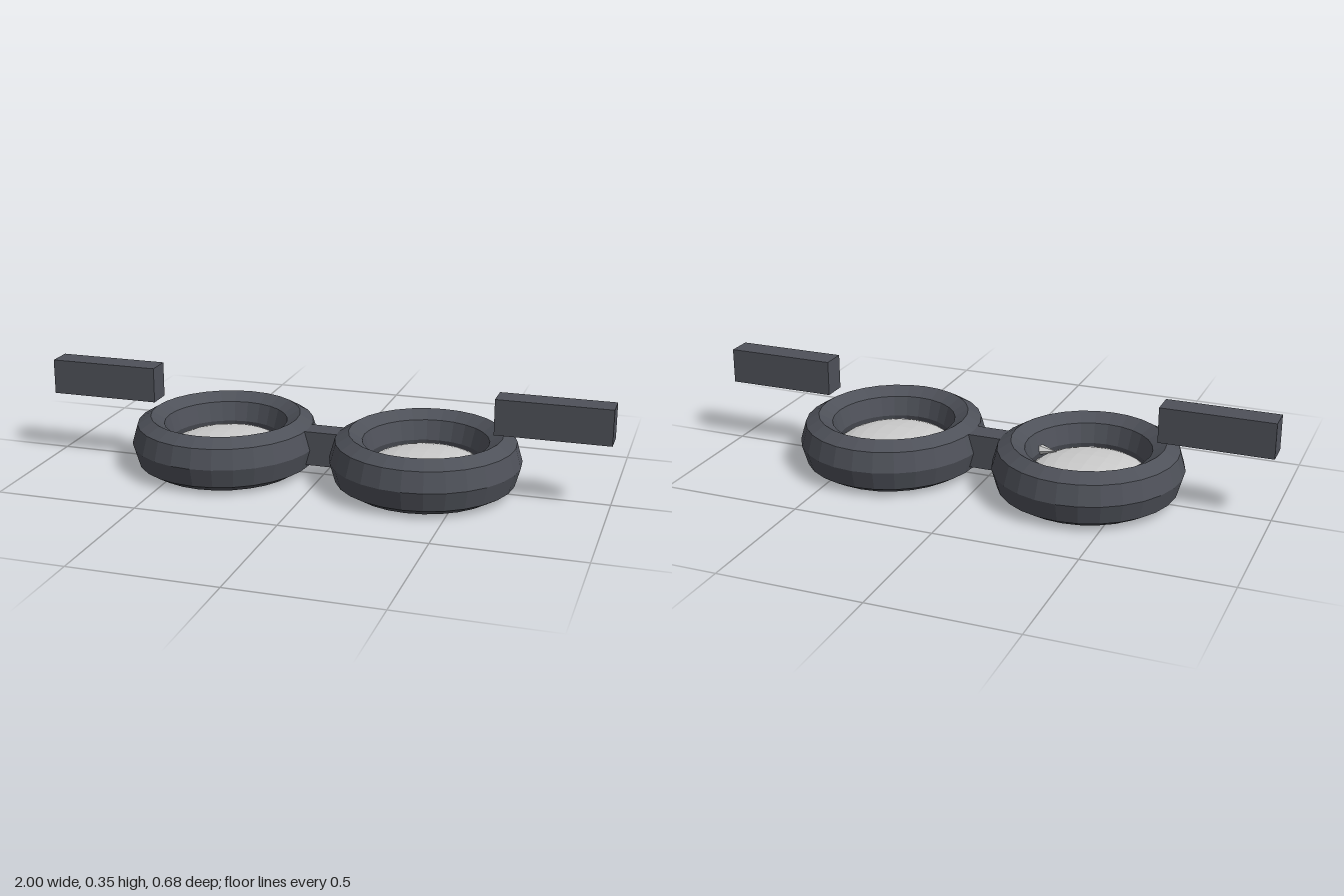
import * as THREE from 'three';

export function createModel() {
  const model = new THREE.Group();
  model.name = 'goggles';

  const frame = new THREE.MeshStandardMaterial({ color: 0x4e5159, flatShading: true });
  frame.name = 'dark grey frame';
  const glass = new THREE.MeshStandardMaterial({ color: 0xcccccc, flatShading: true });
  glass.name = 'pale grey glass';

  function add(name, geometry, material, x, y, z, parent = model) {
    const mesh = new THREE.Mesh(geometry, material);
    mesh.name = name;
    mesh.position.set(x, y, z);
    parent.add(mesh);
    return mesh;
  }

  // Eight-sided ring section, taller than it is wide, lying flat
  const rim = new THREE.TorusGeometry(0.275, 0.069, 8, 28);
  rim.rotateX(-Math.PI / 2);
  rim.scale(0.96, 0.0965 / 0.069, 0.995);

  // Flattened lens bulging towards the underside
  const lens = new THREE.SphereGeometry(1, 24, 16);
  lens.rotateX(Math.PI / 2);
  lens.scale(0.208, 0.06, 0.217);

  // Small pointed glint beside the nose, pointing outwards
  const glint = new THREE.ConeGeometry(0.02, 0.06, 6);

  for (const side of [-1, 1]) {
    const eye = new THREE.Group();
    eye.name = side > 0 ? 'leftEyepiece' : 'rightEyepiece';
    eye.position.x = side * 0.365;
    model.add(eye);
    add('rim', rim, frame, 0, 0.0965, 0, eye);
    add('lens', lens, glass, 0, 0.06, 0, eye);
    const spike = add('glint', glint, glass, -side * 0.167, 0.102, 0.063, eye);
    spike.rotation.z = -side * Math.PI / 2;

    // Strap stub floating above the outer edge of the rim
    add(side > 0 ? 'leftStrap' : 'rightStrap',
      new THREE.BoxGeometry(0.39, 0.124, 0.088), frame, side * 0.805, 0.289, 0.021);
  }

  // Nose bridge between the rims
  add('bridge', new THREE.BoxGeometry(0.14, 0.122, 0.085), frame, 0, 0.104, -0.003);

  return model;
}
